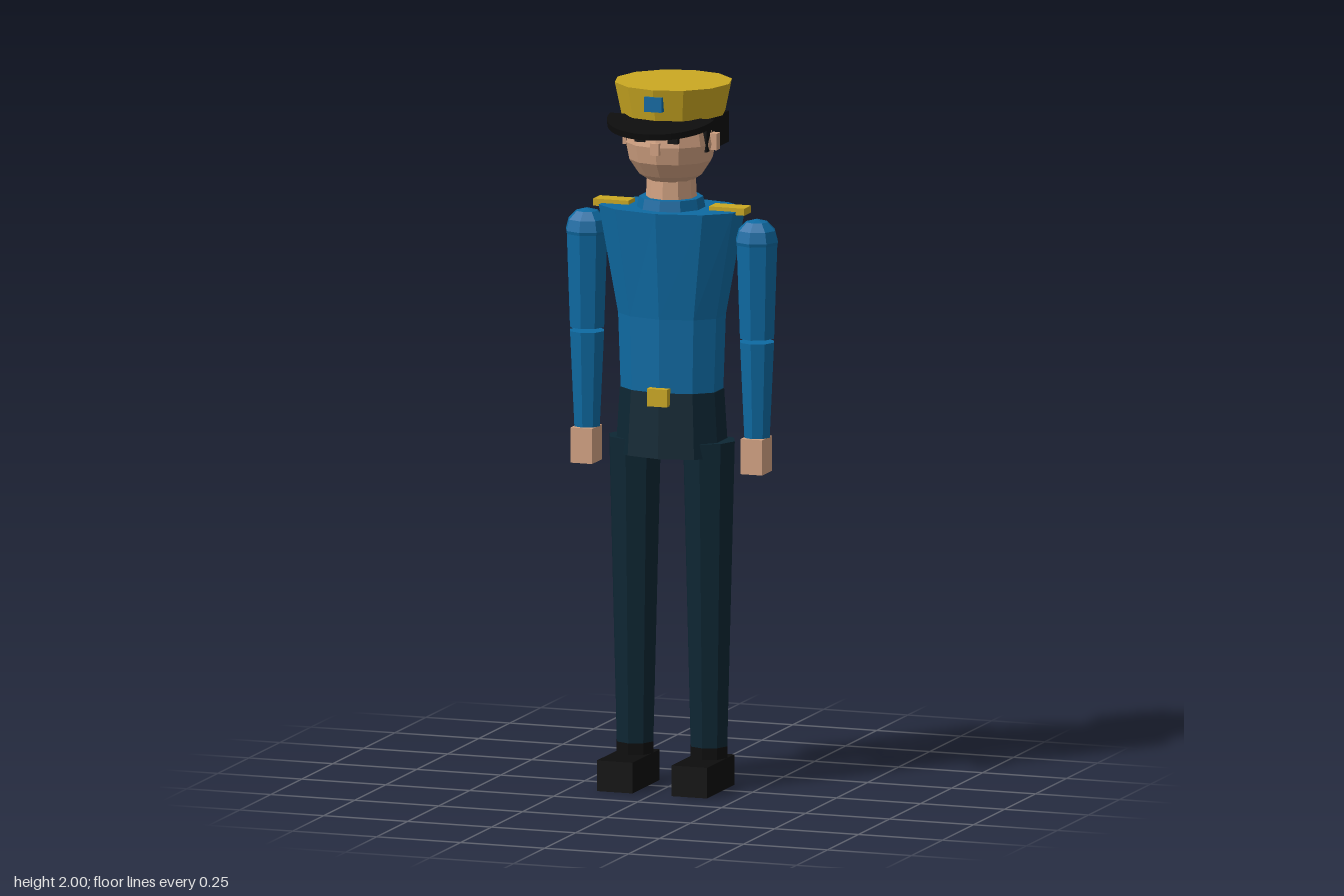
import * as THREE from 'three';

const mat = (name, color) => {
  const m = new THREE.MeshStandardMaterial({ color });
  m.name = name;
  return m;
};

// Faceted normals for the low-poly look
function flat(geo) {
  const g = geo.index ? geo.toNonIndexed() : geo;
  g.computeVertexNormals();
  return g;
}

// Ten-sided body outline, as fractions of half width and half depth
const OUTLINE = [[0, 1], [0.65, 0.79], [1, 0.37], [1, -0.37], [0.65, -0.79],
  [0, -1], [-0.65, -0.79], [-1, -0.37], [-1, 0.37], [-0.65, 0.79]];

// Closed loft through rings [y, halfWidth, halfDepth], lowest first
function loft(rings) {
  const n = OUTLINE.length, pos = [], idx = [];
  for (const [y, w, d] of rings) for (const [x, z] of OUTLINE) pos.push(x * w, y, z * d);
  for (let r = 0; r < rings.length - 1; r++) {
    for (let i = 0; i < n; i++) {
      const a = r * n + i, b = r * n + (i + 1) % n;
      idx.push(a, b, b + n, a, b + n, a + n);
    }
  }
  const top = (rings.length - 1) * n;
  for (let i = 1; i < n - 1; i++) {
    idx.push(0, i + 1, i);
    idx.push(top, top + i, top + i + 1);
  }
  const g = new THREE.BufferGeometry();
  g.setAttribute('position', new THREE.Float32BufferAttribute(pos, 3));
  g.setIndex(idx);
  return g;
}

export function createModel() {
  const blue = mat('uniform blue', 0x0e6aa2);
  const navy = mat('trouser navy', 0x0d2633);
  const gold = mat('gold trim', 0xcba822);
  const black = mat('black', 0x0d0d0d);
  const skin = mat('skin', 0xd2a282);

  const model = new THREE.Group();
  model.name = 'uniformedFigure';
  const Z = -0.027; // body centre line

  const add = (name, geo, material, x = 0, y = 0, z = 0) => {
    const m = new THREE.Mesh(flat(geo), material);
    m.name = name;
    m.position.set(x, y, z);
    model.add(m);
    return m;
  };
  // Box given by its min and max on each axis
  const box = (name, material, x0, x1, y0, y1, z0, z1) =>
    add(name, new THREE.BoxGeometry(Math.abs(x1 - x0), y1 - y0, z1 - z0), material,
      (x0 + x1) / 2, (y0 + y1) / 2, (z0 + z1) / 2);
  // Tapered upright tube between two heights
  const tube = (name, material, rTop, rBottom, y0, y1, x, z, sides = 8) =>
    add(name, new THREE.CylinderGeometry(rTop, rBottom, y1 - y0, sides), material, x, (y0 + y1) / 2, z);

  // Body
  add('hips', loft([[0.945, 0.152, 0.114], [1.13, 0.141, 0.105]]), navy, 0, 0, Z);
  add('jacket', loft([[1.13, 0.139, 0.102], [1.34, 0.146, 0.106], [1.645, 0.2, 0.135]]), blue, 0, 0, Z);
  box('beltBuckle', gold, -0.03, 0.03, 1.095, 1.145, 0.06, 0.095);
  tube('collar', blue, 0.09, 0.097, 1.64, 1.675, 0, -0.02, 10);
  tube('neck', skin, 0.068, 0.072, 1.66, 1.74, 0, -0.022, 10);

  // Limbs, mirrored
  for (const s of [1, -1]) {
    const side = s > 0 ? 'left' : 'right';
    const ax = s * 0.253, lx = s * 0.11;
    tube(side + 'Leg', navy, 0.077, 0.054, 0.1, 0.988, lx, Z);
    tube(side + 'BootCuff', black, 0.055, 0.055, 0.08, 0.12, lx, Z);
    box(side + 'Boot', black, s * 0.058, s * 0.164, 0, 0.087, -0.085, 0.135);

    add(side + 'Shoulder', new THREE.SphereGeometry(0.063, 8, 6), blue, ax, 1.562, Z);
    tube(side + 'UpperArm', blue, 0.061, 0.051, 1.287, 1.565, ax, Z);
    tube(side + 'Forearm', blue, 0.051, 0.038, 1.005, 1.276, ax, Z);
    box(side + 'Hand', skin, s * 0.221, s * 0.285, 0.905, 1.005, -0.06, 0.019);
    box(side + 'Epaulette', gold, s * 0.12, s * 0.225, 1.636, 1.656, -0.055, 0);

    // Face details
    box(side + 'Ear', skin, s * 0.112, s * 0.14, 1.815, 1.862, -0.036, -0.008);
    box(side + 'Eye', black, s * 0.034, s * 0.064, 1.846, 1.872, 0.08, 0.102);
  }

  // Head
  const head = new THREE.SphereGeometry(0.128, 12, 8);
  add('head', head, skin, 0, 1.832, -0.02);
  box('nose', skin, -0.013, 0.013, 1.812, 1.846, 0.08, 0.116);
  box('hair', black, -0.12, 0.12, 1.812, 1.9, -0.163, 0.02);

  // Cap
  tube('capCrown', gold, 0.166, 0.147, 1.91, 2, 0, -0.038, 12);
  box('capBadge', blue, -0.026, 0.026, 1.938, 1.98, 0.09, 0.129);
  const brim = new THREE.Shape();
  brim.absellipse(0, 0, 0.155, 0.152, 0, Math.PI, false);
  brim.closePath();
  const visorGeo = new THREE.ExtrudeGeometry(brim, { depth: 0.018, bevelEnabled: false, curveSegments: 16 });
  visorGeo.rotateX(Math.PI / 2);
  const visor = add('capVisor', visorGeo, black, 0, 1.914, 0.052);
  visor.rotation.x = 0.17;

  return model;
}
